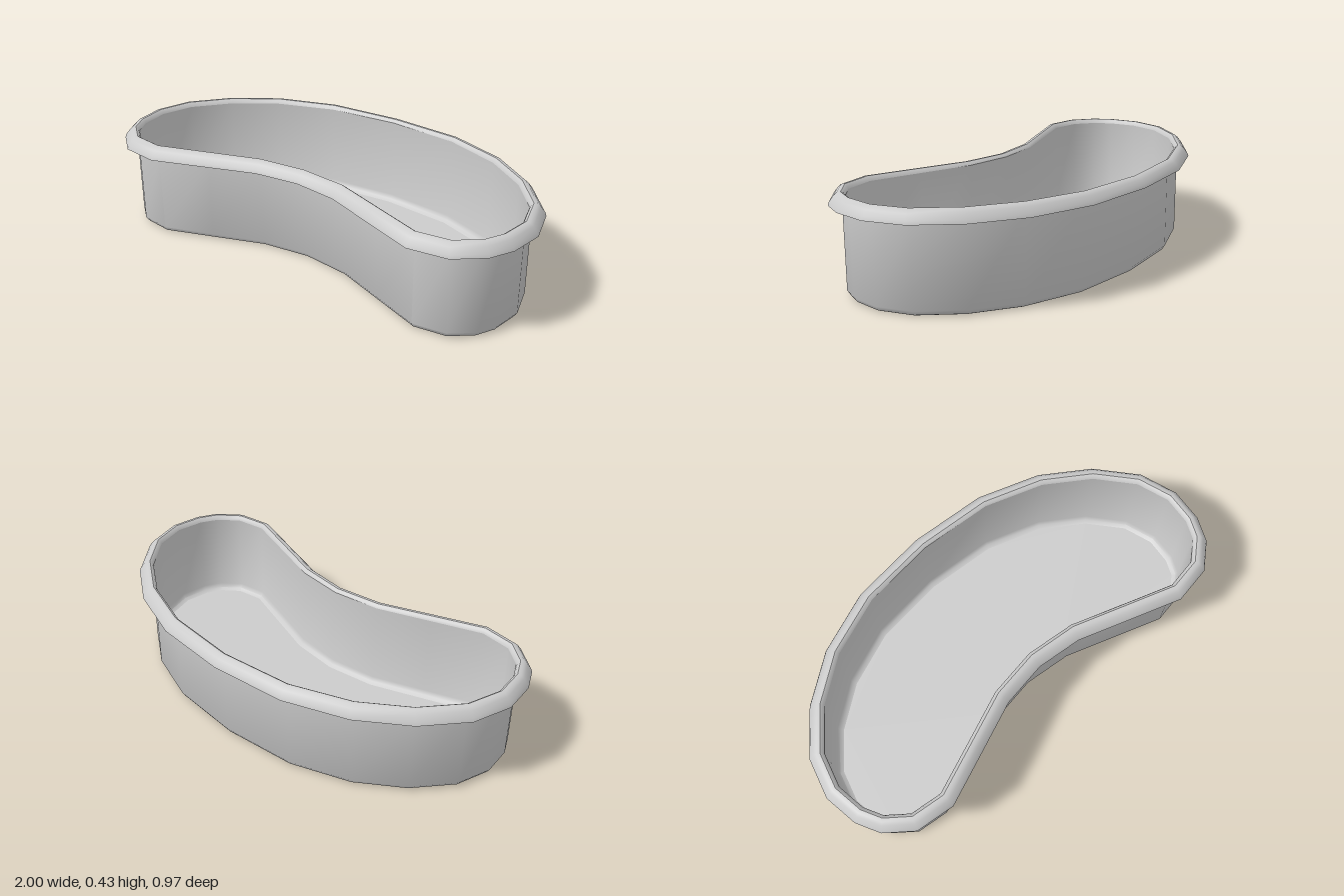
import * as THREE from 'three';
import { toCreasedNormals } from 'three/addons/utils/BufferGeometryUtils.js';

// Half of the kidney outline at the rim edge (x, z), back centre round to front centre
const half = [
  [0, -0.488], [0.34, -0.457], [0.61, -0.36], [0.81, -0.22], [0.95, -0.05], [1, 0.12], [0.98, 0.27],
  [0.93, 0.37], [0.82, 0.46], [0.65, 0.483], [0.42, 0.4], [0.2, 0.32], [0, 0.295],
];
const mirrored = half.slice(1, -1).reverse().map(([x, z]) => [-x, z]);
const outline = [...half, ...mirrored].map(([x, z]) => new THREE.Vector2(x, z));

// Outline moved inwards by a distance, with mitred corners
function inset(d) {
  const n = outline.length;
  return outline.map((p, i) => {
    const a = p.clone().sub(outline[(i + n - 1) % n]).normalize();
    const b = outline[(i + 1) % n].clone().sub(p).normalize();
    const inward = new THREE.Vector2(-(a.y + b.y), a.x + b.x).normalize();
    const cosHalf = Math.sqrt((1 + a.dot(b)) / 2);
    return p.clone().addScaledVector(inward, d / cosHalf);
  });
}

// The rim dips very slightly towards the middle
const dip = (x, y) => y > 0.41 ? y - 0.006 * (1 - Math.min(1, Math.abs(x) / 0.65)) : y;

// Skin through rings given as [inset, height]
function loft(profile) {
  const n = outline.length, pos = [], index = [];
  profile.forEach(([d, y], i) => {
    inset(d).forEach((p, j) => {
      pos.push(p.x, dip(p.x, y), p.y);
      if (i === profile.length - 1) return;
      const a = i * n + j, b = i * n + (j + 1) % n;
      index.push(a, a + n, b, b, a + n, b + n);
    });
  });
  const g = new THREE.BufferGeometry();
  g.setAttribute('position', new THREE.Float32BufferAttribute(pos, 3));
  g.setIndex(index);
  return toCreasedNormals(g, 0.72);
}

// Flat kidney-shaped plate facing up or down
function plate(d, y, up) {
  const s = up ? -1 : 1;
  const shape = new THREE.Shape(inset(d).map(p => new THREE.Vector2(p.x, s * p.y)));
  return new THREE.ShapeGeometry(shape).rotateX(s * Math.PI / 2).translate(0, y, 0);
}

export function createModel() {
  const group = new THREE.Group();
  const material = new THREE.MeshStandardMaterial({ color: 0xcccccc, side: THREE.DoubleSide });
  const add = (name, geometry) => {
    const mesh = new THREE.Mesh(geometry, material);
    mesh.name = name;
    group.add(mesh);
  };

  add('base', plate(0.075, 0.003, false));
  // Outer wall with a chamfered foot
  add('outerWall', loft([[0.075, 0.003], [0.065, 0.008], [0.053, 0.027], [0.053, 0.38]]));
  // Overhanging rounded rim
  add('rim', loft([[0.053, 0.38], [0, 0.378], [0.005, 0.392], [0.022, 0.415], [0.035, 0.427],
    [0.05, 0.429], [0.06, 0.422], [0.065, 0.41]]));
  // Inside wall curving into the floor
  add('innerWall', loft([[0.065, 0.41], [0.066, 0.045], [0.074, 0.025], [0.09, 0.016]]));
  add('floor', plate(0.09, 0.016, true));
  return group;
}
